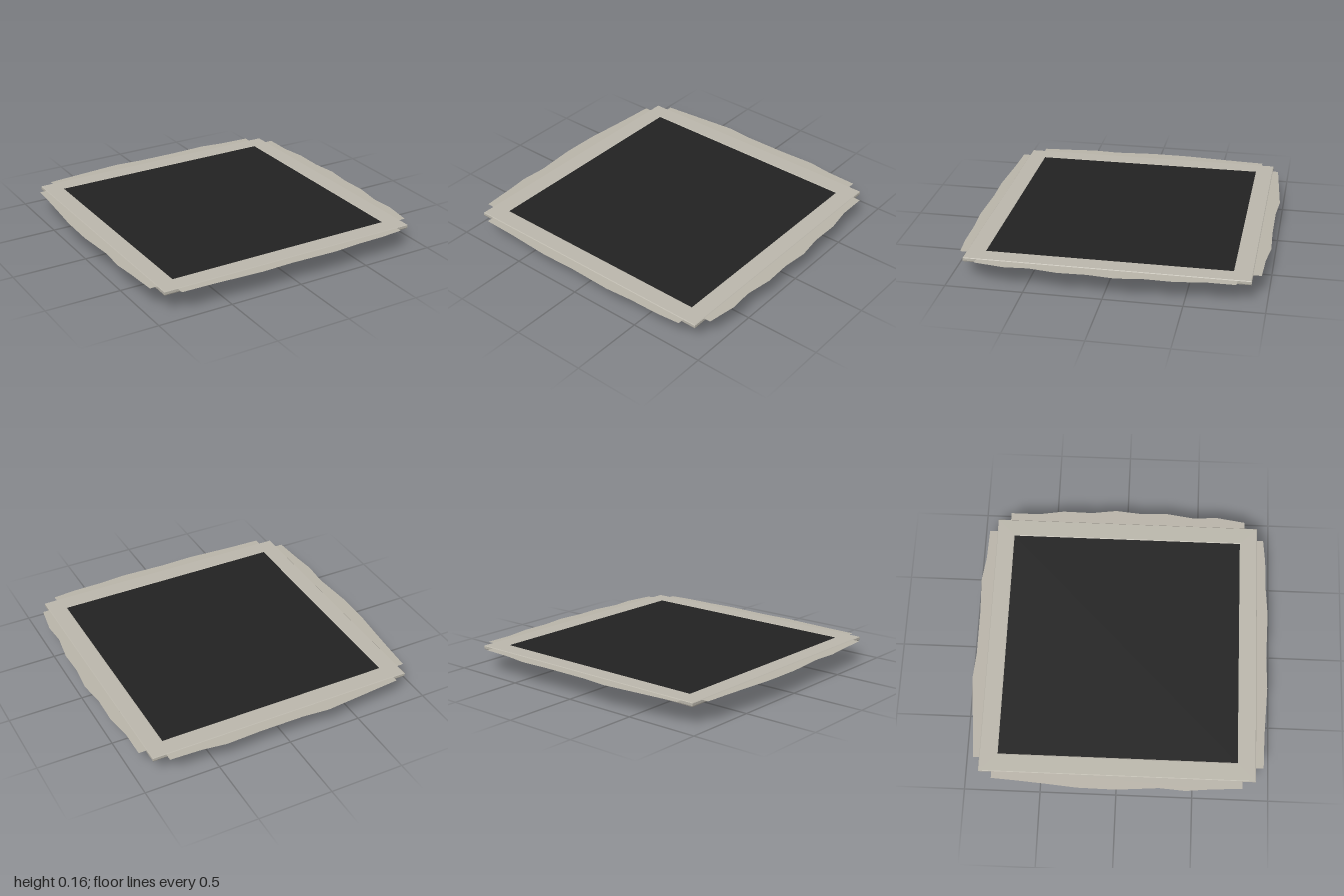
import * as THREE from 'three';

const material = (name, color, side = THREE.FrontSide) => {
  const m = new THREE.MeshStandardMaterial({ color, side });
  m.name = name;
  return m;
};

// Square ring swept from a closed profile of [half-width, y], counterclockwise
function squareRing(profile) {
  const pts = [...profile, profile[0]].map(([r, y]) => new THREE.Vector2(r * Math.SQRT2, y));
  const geo = new THREE.LatheGeometry(pts, 4, Math.PI / 4).toNonIndexed();
  geo.computeVertexNormals();
  return geo;
}

export function createModel() {
  const model = new THREE.Group();
  model.name = 'ceilingVent';
  const paint = material('warm grey paint', 0xbbb7ac);
  const stain = material('ceiling patch', 0xb9b4a9, THREE.DoubleSide);
  const dark = material('dark interior', 0x222222);
  const metal = material('screw metal', 0x77756f);

  const body = new THREE.Group();
  body.name = 'diffuser';
  body.position.set(-0.005, 0, 0.003);
  model.add(body);
  const add = (parent, name, geo, mat, y = 0) => {
    const mesh = new THREE.Mesh(geo, mat);
    mesh.name = name;
    mesh.position.y = y;
    parent.add(mesh);
    return mesh;
  };

  // Outer frame with softened edges
  add(body, 'frame', squareRing([
    [0.78, 0.125], [0.895, 0.125], [0.902, 0.128], [0.905, 0.135],
    [0.905, 0.151], [0.901, 0.155], [0.79, 0.155], [0.78, 0.151],
  ]), paint);

  // Dark backing panel
  add(body, 'backPanel', new THREE.BoxGeometry(1.57, 0.006, 1.57), dark, 0.15);

  // Nested sloping vanes: lower half-width, lower y, upper half-width, upper y
  const vanes = [
    [0.635, 0.09, 0.77, 0.147],
    [0.475, 0.07, 0.595, 0.14],
    [0.30, 0.05, 0.42, 0.12],
    [0.145, 0.03, 0.265, 0.10],
  ];
  vanes.forEach(([r0, y0, r1, y1], i) => add(body, `vane${i + 1}`, squareRing([
    [r0, y0], [r1, y1], [r1 - 0.008, y1 + 0.004], [r0 - 0.008, y0 + 0.005], [r0 - 0.008, y0],
  ]), paint));

  // Centre plate and its screw
  add(body, 'centrePlate', squareRing([
    [0, 0.01], [0.103, 0.01], [0.108, 0.015], [0.108, 0.035], [0, 0.035],
  ]), paint);
  add(body, 'centreScrew', new THREE.CylinderGeometry(0.012, 0.01, 0.011, 16), metal, 0.0055);

  // Ragged thin patches around the frame, outer edges as [x, z]
  const patches = {
    backPatch: [[-0.82, -0.88], [-0.82, -0.94], [-0.55, -0.965], [-0.28, -0.99], [-0.1, -0.975],
      [0.2, -0.975], [0.44, -0.985], [0.6, -0.963], [0.81, -0.955], [0.81, -0.88]],
    frontPatch: [[-0.82, 0.88], [-0.82, 0.957], [-0.6, 0.962], [-0.27, 0.98], [-0.05, 0.973],
      [0.26, 0.982], [0.45, 0.968], [0.65, 0.965], [0.81, 0.95], [0.81, 0.88]],
    rightPatch: [[-0.88, -0.815], [-0.955, -0.815], [-0.965, -0.65], [-0.98, -0.45], [-0.997, -0.25],
      [-1, 0], [-0.978, 0.28], [-0.99, 0.45], [-0.975, 0.6], [-0.96, 0.82], [-0.88, 0.82]],
    leftPatch: [[0.88, -0.815], [0.953, -0.815], [0.953, -0.62], [0.98, -0.45], [0.977, -0.25],
      [1, -0.08], [0.983, 0.1], [0.99, 0.28], [0.963, 0.47], [0.975, 0.62], [0.945, 0.82], [0.88, 0.82]],
  };
  for (const [name, pts] of Object.entries(patches)) {
    const shape = new THREE.Shape(pts.map(([x, z]) => new THREE.Vector2(x, -z)));
    add(model, name, new THREE.ShapeGeometry(shape).rotateX(-Math.PI / 2), stain, 0.151);
  }
  return model;
}
